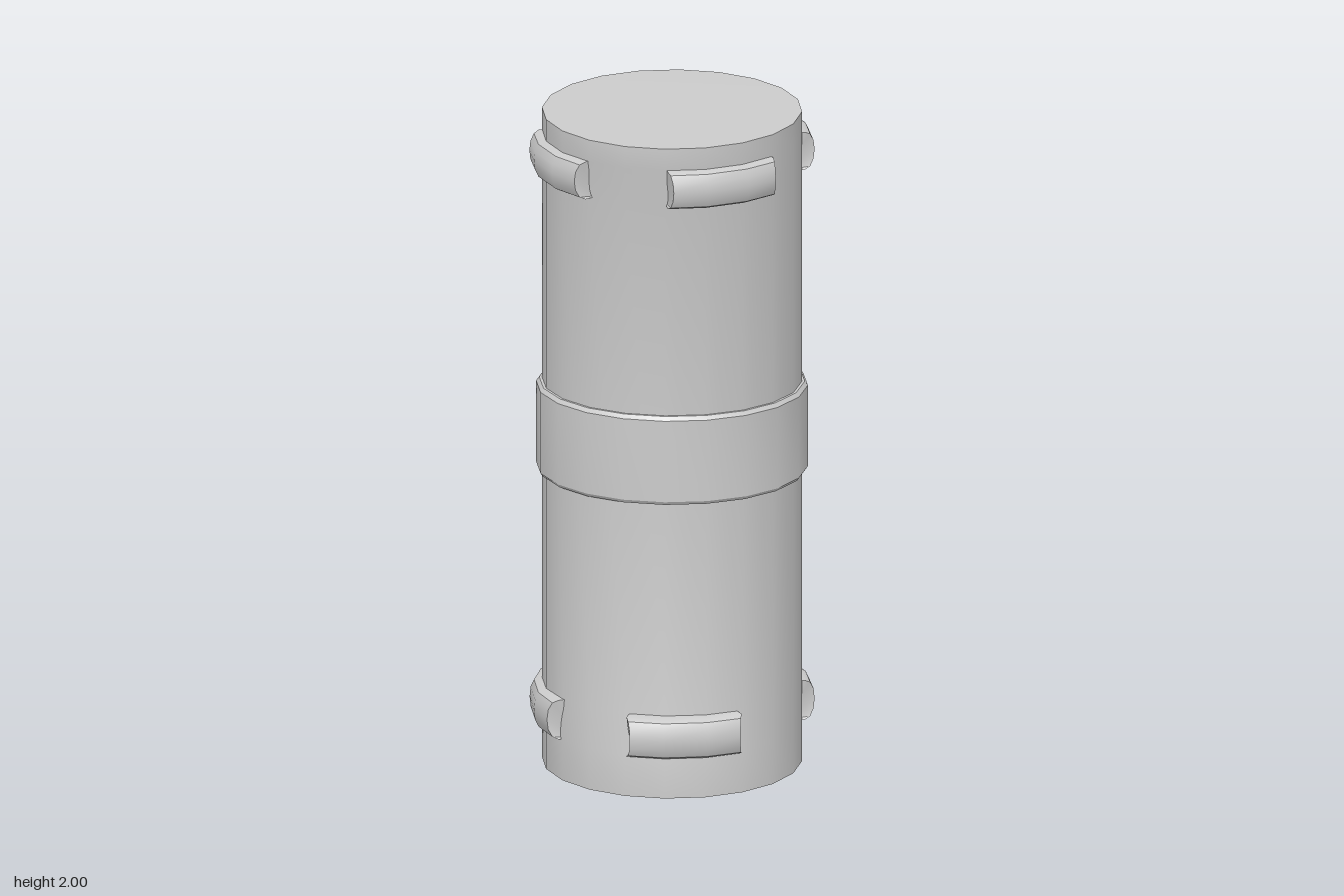
import * as THREE from 'three';
import { toCreasedNormals } from 'three/addons/utils/BufferGeometryUtils.js';

const SIDES = 20;
const STEP = (Math.PI * 2) / SIDES;
const FLAT = 0.927; // the middle of the tube is slightly flattened front to back
const material = new THREE.MeshStandardMaterial({ color: 0xcccccc });

function addMesh(parent, name, geometry) {
  const mesh = new THREE.Mesh(toCreasedNormals(geometry, 0.5), material);
  mesh.name = name;
  parent.add(mesh);
  return mesh;
}

// Turned part whose depth is scaled by a rule of height
function turned(points, depthAt) {
  const geometry = new THREE.LatheGeometry(points.map(([r, y]) => new THREE.Vector2(r, y)), SIDES);
  const pos = geometry.attributes.position;
  for (let i = 0; i < pos.count; i++) pos.setZ(i, pos.getZ(i) * depthAt(pos.getY(i)));
  return geometry;
}

// Raised curved lug: a rounded section swept round the tube, ends slanting inwards
function lugGeometry(startDegrees, y0, y1) {
  const profile = [
    [0.33, y0], [0.388, y0], [0.403, y0 + 0.008], [0.413, y0 + 0.03], [0.416, (y0 + y1) / 2],
    [0.413, y1 - 0.03], [0.403, y1 - 0.008], [0.388, y1], [0.33, y1],
  ];
  const n = profile.length;
  const segments = 3;
  const start = THREE.MathUtils.degToRad(startDegrees);
  const positions = [];
  const indices = [];
  for (let i = 0; i <= segments; i++) {
    for (const [r, y] of profile) {
      const slant = Math.max(0, r - 0.375) * 1.7;
      const shift = i === 0 ? slant : i === segments ? -slant : 0;
      const a = start + i * STEP + shift;
      positions.push(r * Math.sin(a), y, r * Math.cos(a));
    }
  }
  for (let i = 0; i < segments; i++) {
    for (let j = 0; j < n; j++) {
      const k = (j + 1) % n;
      const a = i * n + j, b = a + n, c = (i + 1) * n + k, d = i * n + k;
      indices.push(a, b, c, a, c, d);
    }
  }
  const last = segments * n;
  for (let j = 1; j < n - 1; j++) {
    indices.push(0, j, j + 1);
    indices.push(last, last + j + 1, last + j);
  }
  const geometry = new THREE.BufferGeometry();
  geometry.setAttribute('position', new THREE.Float32BufferAttribute(positions, 3));
  geometry.setIndex(indices);
  return geometry;
}

export function createModel() {
  const model = new THREE.Group();
  model.name = 'bandedCylinder';

  // Closed tube with round ends
  const R = 0.38;
  const body = [[0, 0], [R, 0.006], [R, 0.13], [R, 0.25], [R, 1.82], [R, 1.93], [R, 1.996], [0, 2]];
  addMesh(model, 'body', turned(body, (y) => (y > 0.2 && y < 1.88 ? FLAT : 1)));

  // Wide band round the middle
  const band = [[0.36, 0.9], [0.39, 0.9], [0.397, 0.91], [0.397, 1.158], [0.388, 1.17], [0.36, 1.17]];
  addMesh(model, 'middleBand', turned(band, () => FLAT));

  // Four lugs near each end, angles measured from the front towards +x
  const rings = [
    { name: 'upperLug', starts: [0, 90, 180, 270], y0: 1.815, y1: 1.93 },
    { name: 'lowerLug', starts: [-18, 90, 162, 252], y0: 0.13, y1: 0.25 },
  ];
  for (const { name, starts, y0, y1 } of rings) {
    const ring = new THREE.Group();
    ring.name = name + 's';
    starts.forEach((s, i) => addMesh(ring, name + (i + 1), lugGeometry(s, y0, y1)));
    model.add(ring);
  }
  return model;
}
